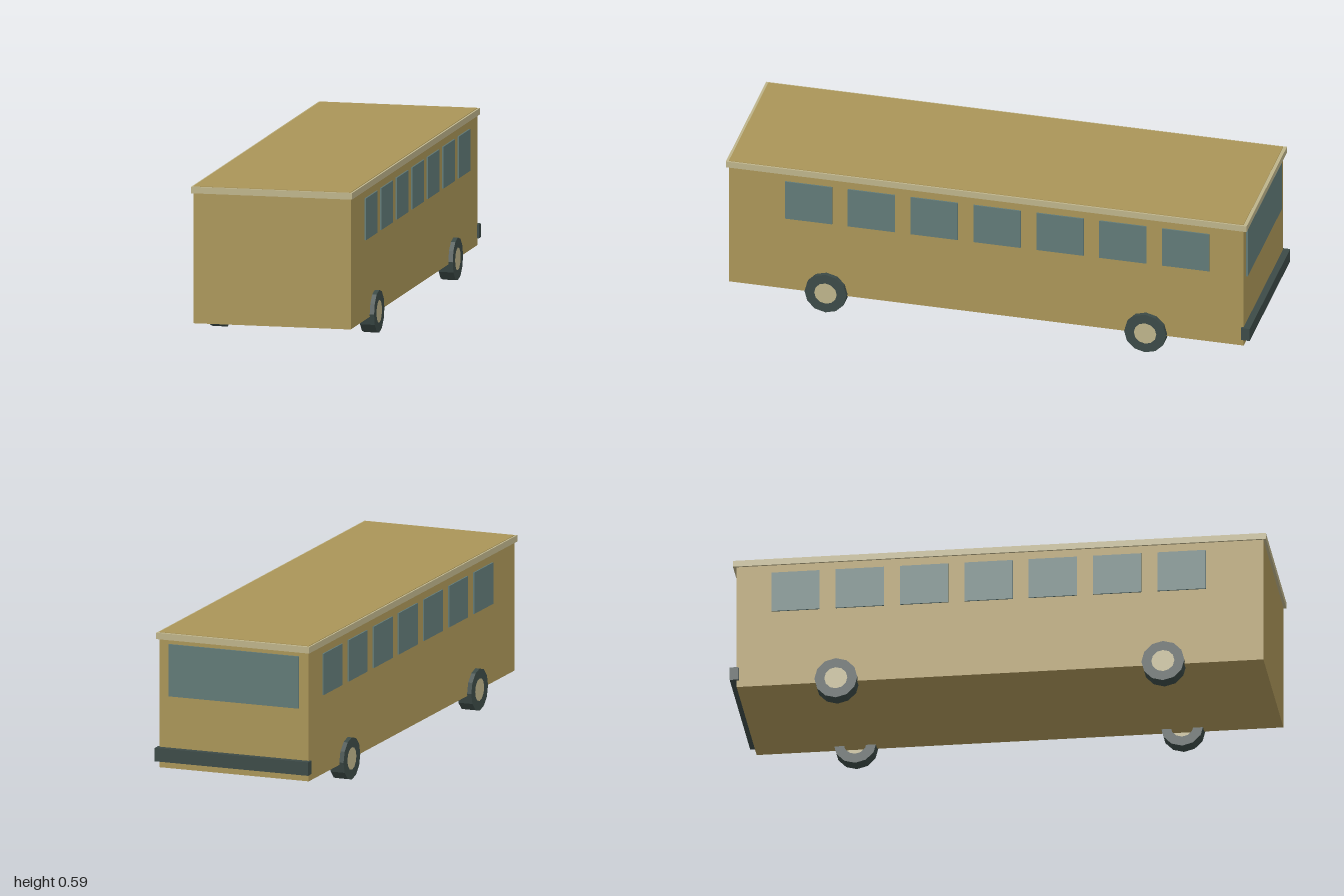
import * as THREE from 'three';

export function createModel() {
  const bus = new THREE.Group();
  bus.name = 'bus';

  const mat = (name, color, flatShading = false) => {
    const m = new THREE.MeshStandardMaterial({ color, flatShading });
    m.name = name;
    return m;
  };
  const paint = mat('ochrePaint', 0xaa9558);
  const cream = mat('cream', 0xbdb38a);
  const glass = mat('glass', 0x617a77);
  const rubber = mat('darkRubber', 0x3c4a47, true);

  const add = (name, geometry, material, x, y, z) => {
    const mesh = new THREE.Mesh(geometry, material);
    mesh.name = name;
    mesh.position.set(x, y, z);
    bus.add(mesh);
    return mesh;
  };
  // Box given by its lower and upper limits
  const box = (name, material, [x0, x1], [y0, y1], [z0, z1]) =>
    add(name, new THREE.BoxGeometry(x1 - x0, y1 - y0, z1 - z0), material,
      (x0 + x1) / 2, (y0 + y1) / 2, (z0 + z1) / 2);

  // Body shell with a roof rim around its top, and rear fittings
  box('body', paint, [-0.3, 0.3], [0.071, 0.586], [-0.975, 0.99]);
  box('roofRim', cream, [-0.307, 0.307], [0.56, 0.584], [-0.988, 1]);
  box('endWindow', glass, [-0.261, 0.261], [0.345, 0.543], [-0.981, -0.974]);
  box('bumper', rubber, [-0.308, 0.308], [0.098, 0.149], [-1, -0.967]);

  // Tyre is a hollow ring; its hub sits in the outer end
  const tyreShape = [[0.043, -0.028], [0.08, -0.028], [0.08, 0.028], [0.043, 0.028], [0.043, -0.028]];
  const tyre = new THREE.LatheGeometry(tyreShape.map(([r, h]) => new THREE.Vector2(r, h)), 12);
  const hub = new THREE.CylinderGeometry(0.043, 0.043, 0.012, 12);
  tyre.rotateZ(Math.PI / 2);
  hub.rotateZ(Math.PI / 2);

  for (const side of [-1, 1]) {
    // Row of seven side windows
    for (let i = 0; i < 7; i++) {
      add('sideWindow', new THREE.BoxGeometry(0.009, 0.157, 0.18), glass,
        side * 0.301, 0.45, 0.685 - i * 0.24);
    }
    for (const z of [0.617, -0.603]) {
      add('tyre', tyre, rubber, side * 0.289, 0.08, z);
      add('hub', hub, cream, side * 0.311, 0.08, z);
    }
  }
  return bus;
}
